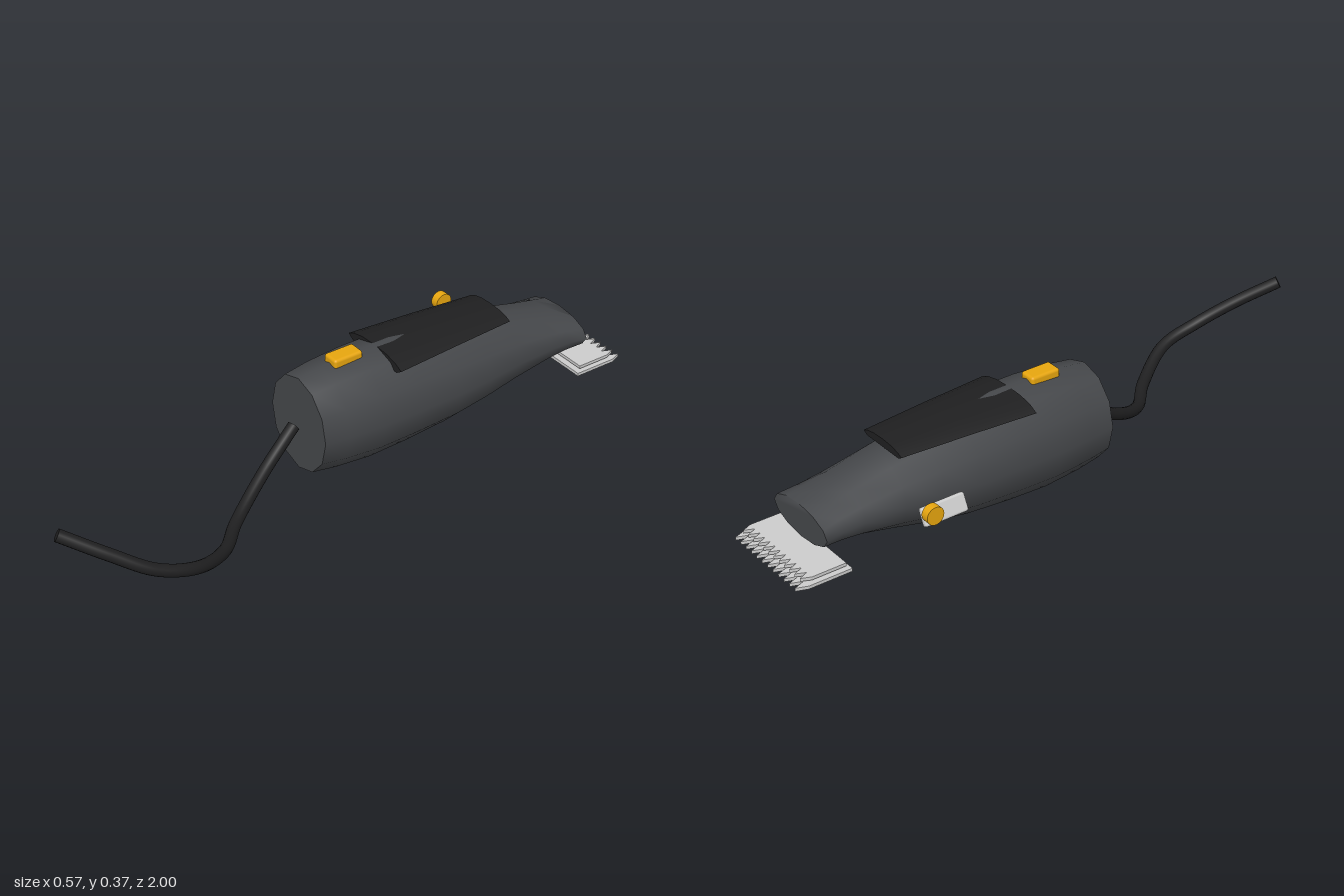
import * as THREE from 'three';
import { toCreasedNormals } from 'three/addons/utils/BufferGeometryUtils.js';
import { RoundedBoxGeometry } from 'three/addons/geometries/RoundedBoxGeometry.js';

const CX = -0.027; // centre line of the clipper

const paint = (color) => new THREE.MeshStandardMaterial({ color });
const steel = paint(0xcccccc);
const shell = paint(0x45474a);
const rubber = paint(0x1f1f20);
const amber = paint(0xe6a50f);

function add(group, name, geometry, material, x = 0, y = 0, z = 0) {
  const mesh = new THREE.Mesh(geometry, material);
  mesh.name = name;
  mesh.position.set(x, y, z);
  group.add(mesh);
  return mesh;
}

// Closed loft through rings of [x, y, z], counter-clockwise from +z, running towards -z
function loft(rings, crease) {
  const n = rings[0].length;
  const pos = rings.flat(2);
  const index = [];
  for (let i = 0; i < rings.length - 1; i++) {
    for (let j = 0; j < n; j++) {
      const k = (j + 1) % n;
      const a = i * n + j, b = i * n + k;
      index.push(a, a + n, b, b, a + n, b + n);
    }
  }
  const last = (rings.length - 1) * n;
  for (let j = 1; j < n - 1; j++) {
    index.push(0, j, j + 1, last, last + j + 1, last + j);
  }
  const geometry = new THREE.BufferGeometry();
  geometry.setAttribute('position', new THREE.Float32BufferAttribute(pos, 3));
  geometry.setIndex(index);
  return toCreasedNormals(geometry, crease);
}

// Flat blade with pointed teeth along its -z edge
function bladeGeometry(x0, x1, zBack, zTip, depth, teeth, thickness) {
  const shape = new THREE.Shape();
  const step = (x1 - x0) / teeth;
  shape.moveTo(x0, -zBack);
  shape.lineTo(x0, -zTip - depth);
  for (let i = 0; i < teeth; i++) {
    shape.lineTo(x0 + (i + 0.5) * step, -zTip);
    shape.lineTo(x0 + (i + 1) * step, -zTip - depth);
  }
  shape.lineTo(x1, -zBack);
  const geometry = new THREE.ExtrudeGeometry(shape, { depth: thickness, bevelEnabled: false });
  return geometry.rotateX(-Math.PI / 2);
}

export function createModel() {
  const model = new THREE.Group();
  model.name = 'hairClipper';

  // Body: twelve-sided elliptical sections [z, half width, bottom, top]
  const sections = [
    [0.10, 0.136, 0.027, 0.339],
    [0.02, 0.147, 0.015, 0.350],
    [-0.10, 0.156, 0.006, 0.357],
    [-0.23, 0.158, 0.012, 0.355],
    [-0.38, 0.157, 0.025, 0.343],
    [-0.50, 0.148, 0.046, 0.326],
    [-0.62, 0.135, 0.074, 0.303],
    [-0.75, 0.126, 0.104, 0.270],
    [-0.82, 0.127, 0.119, 0.253],
    [-0.88, 0.135, 0.131, 0.236],
  ];
  const bodyRings = sections.map(([z, w, lo, hi]) =>
    Array.from({ length: 12 }, (_, j) => {
      const t = (j / 12) * Math.PI * 2;
      return [CX + w * Math.cos(t), (lo + hi) / 2 + ((hi - lo) / 2) * Math.sin(t), z];
    }));
  add(model, 'body', loft(bodyRings, 1.3), shell);

  // Grip pad: arched plate [x / half width, height], narrowing towards the blades
  const padOutline = [
    [0.83, -0.040], [1, -0.026], [0.8, -0.013], [0.45, -0.003], [0, 0],
    [-0.45, -0.003], [-0.8, -0.013], [-1, -0.026], [-0.83, -0.040], [0, -0.018],
  ];
  const padRings = [[-0.172, 0.130, 0.353, 1], [-0.39, 0.112, 0.349, 0.85], [-0.605, 0.093, 0.341, 0.65]]
    .map(([z, w, top, arch]) => padOutline.map(([x, y]) => [CX + x * w, top + y * arch, z]));
  add(model, 'gripPad', loft(padRings, 0.6), rubber);

  // Power switch on top
  add(model, 'powerSwitch', new RoundedBoxGeometry(0.056, 0.032, 0.1, 3, 0.009), amber, CX, 0.354, -0.06);

  // Side lever and its knob
  const lever = add(model, 'sideLever', new RoundedBoxGeometry(0.02, 0.056, 0.145, 3, 0.007), steel,
    -0.217, 0.181, -0.537);
  lever.rotation.z = -0.46;
  const knob = new THREE.CylinderGeometry(0.028, 0.028, 0.027, 24).rotateZ(Math.PI / 2);
  add(model, 'leverKnob', knob, amber, -0.274, 0.225, -0.611);

  // Cutting blades
  add(model, 'lowerBlade', bladeGeometry(-0.195, 0.14, -0.825, -1, 0.036, 12, 0.01), steel, 0, 0.084, 0);
  add(model, 'upperBlade', bladeGeometry(-0.186, 0.132, -0.838, -0.978, 0.03, 12, 0.01), steel, 0, 0.102, 0);

  // Power cord with closed ends
  const path = new THREE.CatmullRomCurve3([
    [-0.027, 0.181, 0.118], [0.01, 0.091, 0.25], [0.09, 0.025, 0.4], [0.185, 0.029, 0.5],
    [0.262, 0.08, 0.645], [0.251, 0.122, 0.765], [0.195, 0.187, 0.875], [0.119, 0.255, 0.988],
  ].map((p) => new THREE.Vector3(...p)));
  const cord = new THREE.Group();
  cord.name = 'powerCord';
  model.add(cord);
  add(cord, 'cordTube', new THREE.TubeGeometry(path, 64, 0.019, 14), rubber);
  for (const [t, sign] of [[0, -1], [1, 1]]) {
    const p = path.getPoint(t);
    const cap = add(cord, 'cordEnd', new THREE.CircleGeometry(0.019, 14), rubber, p.x, p.y, p.z);
    cap.lookAt(p.clone().addScaledVector(path.getTangent(t), sign));
  }
  return model;
}
